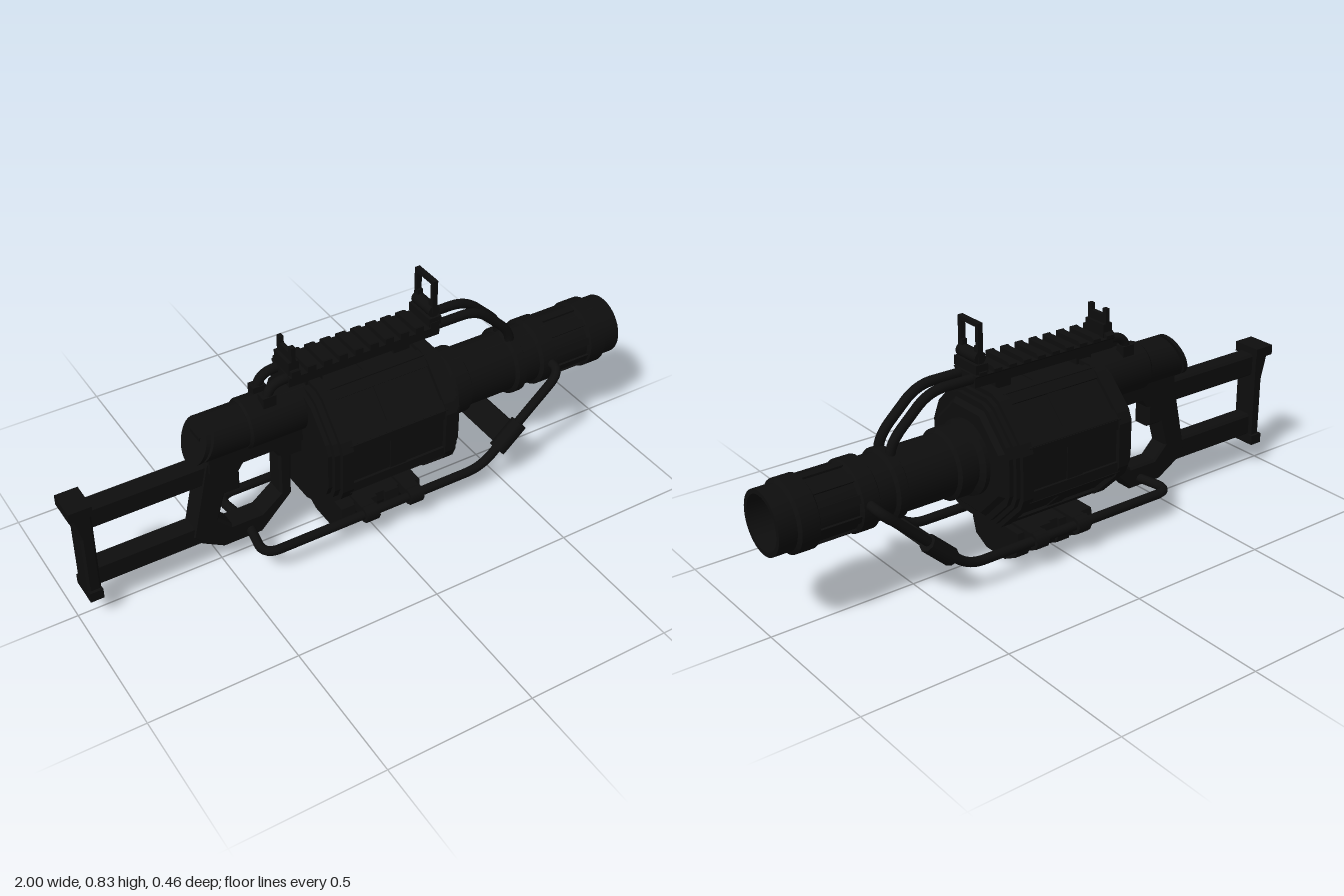
import * as THREE from 'three';
import { toCreasedNormals } from 'three/addons/utils/BufferGeometryUtils.js';

const V = (x, y, z) => new THREE.Vector3(x, y, z);

export function createModel() {
  const root = new THREE.Group();
  const mat = new THREE.MeshStandardMaterial({ color: 0x0e0e0e, side: THREE.DoubleSide });

  const add = (name, geo, x = 0, y = 0, z = 0, parent = root) => {
    const m = new THREE.Mesh(geo, mat);
    m.name = name;
    m.position.set(x, y, z);
    parent.add(m);
    return m;
  };
  // box given by its extents
  const box = (name, x0, x1, y0, y1, z0, z1, parent = root) =>
    add(name, new THREE.BoxGeometry(x1 - x0, y1 - y0, z1 - z0),
      (x0 + x1) / 2, (y0 + y1) / 2, (z0 + z1) / 2, parent);
  const shapeOf = pts => new THREE.Shape(pts.map(p => new THREE.Vector2(...p)));
  // side outline (x, y) given thickness along z, with softened edges
  const slab = (name, pts, halfZ, hole, bevel = 0.008) => {
    const s = shapeOf(pts);
    if (hole) s.holes.push(new THREE.Path(hole.map(p => new THREE.Vector2(...p))));
    const g = new THREE.ExtrudeGeometry(s, {
      depth: 2 * (halfZ - bevel), bevelThickness: bevel, bevelSize: bevel,
      bevelOffset: -bevel, bevelSegments: 1 });
    g.translate(0, 0, -(halfZ - bevel));
    return add(name, g);
  };
  // cross-section (z, y) extended along x
  const alongX = (pts, x0, x1) => {
    const g = new THREE.ExtrudeGeometry(shapeOf(pts.map(([z, y]) => [-z, y])),
      { depth: x1 - x0, bevelEnabled: false });
    return g.rotateY(Math.PI / 2).translate(x0, 0, 0);
  };
  // turned profile [x, radius] around the x axis
  const turned = (pts, segs = 40) => toCreasedNormals(
    new THREE.LatheGeometry(pts.map(([x, r]) => new THREE.Vector2(r, x)), segs)
      .rotateZ(-Math.PI / 2), 0.5);
  // tube along a polyline with rounded bends
  const rod = (name, pts, r, bend = 0.06) => {
    const path = new THREE.CurvePath();
    let last = pts[0];
    for (let i = 1; i < pts.length - 1; i++) {
      const p = pts[i];
      const toward = q => p.clone().add(q.clone().sub(p)
        .setLength(Math.min(bend, p.distanceTo(q) * 0.48)));
      const a = toward(pts[i - 1]), b = toward(pts[i + 1]);
      path.add(new THREE.LineCurve3(last, a));
      path.add(new THREE.QuadraticBezierCurve3(a, p, b));
      last = b;
    }
    path.add(new THREE.LineCurve3(last, pts[pts.length - 1]));
    add(name, new THREE.TubeGeometry(path, 110, r, 12));
  };

  // hollow barrel with chamfered collars
  const R = 0.103, C = 0.116;
  const profile = [[0.2, 0.125], [0.3, 0.125], [0.31, R]];
  for (const [a, b] of [[0.32, 0.39], [0.565, 0.61], [0.665, 0.735], [0.865, 0.94]])
    profile.push([a, R], [a + 0.008, C], [b - 0.008, C], [b, R]);
  profile.push([1, R], [1, 0.088], [0.66, 0.088], [0.66, 0]);
  add('barrel', turned(profile), 0, 0.38, 0);
  for (let i = 0; i < 10; i++) {
    const a = i / 10 * Math.PI * 2;
    const rib = add('barrelRib', new THREE.BoxGeometry(0.14, 0.012, 0.026),
      0.8, 0.38 + Math.cos(a) * R, Math.sin(a) * R);
    rib.rotation.x = a;
  }

  // eight-sided drum: core, end bands and raised frames on each face
  const drum = new THREE.Group();
  drum.name = 'drum';
  drum.position.y = 0.375;
  root.add(drum);
  const octagon = (apothem, cut = 0.012) => {
    const rad = apothem / Math.cos(Math.PI / 8), pts = [];
    for (let i = 0; i < 8; i++) for (const s of [-1, 1]) {
      const a = (i + 0.5) * Math.PI / 4 + s * cut / rad * 1.6;
      pts.push([Math.cos(a) * rad * 0.992, Math.sin(a) * rad * 0.992]);
    }
    return pts;
  };
  for (const [ap, x0, x1] of [[0.195, -0.215, 0.27], [0.21, -0.2, 0.255],
    [0.225, -0.18, -0.14], [0.225, 0.2, 0.24]])
    add('drumSection', alongX(octagon(ap), x0, x1), 0, 0, 0, drum);
  const nose = new THREE.CylinderGeometry(0.178, 0.225, 0.045, 8).rotateY(Math.PI / 8)
    .rotateZ(-Math.PI / 2).toNonIndexed();
  nose.computeVertexNormals();
  add('drumNose', nose, 0.2625, 0, 0, drum);
  for (let i = 0; i < 8; i++) {
    const face = new THREE.Group();
    face.name = 'drumFace';
    face.rotation.x = i * Math.PI / 4;
    drum.add(face);
    for (const s of [-1, 1])
      box('faceEdge', -0.15, 0.21, 0.2, 0.224, s * 0.074 - 0.017, s * 0.074 + 0.017, face);
    box('faceBridge', 0, 0.06, 0.2, 0.219, -0.07, 0.07, face);
  }

  // receiver with slanted rear end and separate end cap
  const slanted = (x0, x1, slantFront) => {
    const g = new THREE.CylinderGeometry(0.074, 0.074, x1 - x0, 32)
      .rotateZ(-Math.PI / 2).translate((x0 + x1) / 2, 0, 0);
    const p = g.attributes.position;
    for (let i = 0; i < p.count; i++)
      if (slantFront || p.getX(i) < (x0 + x1) / 2) p.setX(i, p.getX(i) + p.getY(i) * 0.38);
    g.computeVertexNormals();
    return toCreasedNormals(g, 0.6);
  };
  add('receiverRear', slanted(-0.54, -0.4, false), 0, 0.513, 0);
  add('receiverCap', slanted(-0.565, -0.55, true), 0, 0.513, 0);
  box('capStub', -0.56, -0.5, 0.47, 0.54, -0.03, 0.03);
  add('receiverFront', turned([[-0.41, 0], [-0.41, 0.076], [-0.402, 0.082],
    [-0.19, 0.082], [-0.19, 0]]), 0, 0.513, 0);
  box('receiverKeel', -0.54, -0.2, 0.4, 0.47, -0.045, 0.045);
  box('receiverLink', -0.26, -0.2, 0.35, 0.42, -0.035, 0.035);

  // grip and guard in one frame, with trigger block
  slab('gripFrame', [[-0.55, 0.44], [-0.61, 0.16], [-0.575, 0.12], [-0.5, 0.075],
    [-0.365, 0.075], [-0.255, 0.19], [-0.25, 0.44]], 0.036,
  [[-0.4, 0.412], [-0.435, 0.36], [-0.435, 0.29], [-0.49, 0.29], [-0.515, 0.2],
    [-0.47, 0.155], [-0.365, 0.155], [-0.297, 0.21], [-0.297, 0.36], [-0.33, 0.412]]);

  // skeleton stock
  slab('upperStockBar', [[-0.95, 0.35], [-0.53, 0.35], [-0.53, 0.43], [-0.95, 0.43]], 0.032);
  slab('lowerStockBar', [[-0.95, 0.12], [-0.55, 0.12], [-0.55, 0.2], [-0.95, 0.2]], 0.032);
  slab('buttPlate', [[-1, 0.455], [-0.97, 0.33], [-0.97, 0.085], [-0.925, 0.085],
    [-0.925, 0.455]], 0.042);
  for (const [y0, y1, x0] of [[0.42, 0.455, -1], [0.085, 0.12, -0.97]])
    box('buttEnd', x0, -0.925, y0, y1, -0.052, 0.052);

  // paired upper rods carrying the top rail, paired lower rods around the drum
  for (const s of [-1, 1]) {
    rod('upperRod', [V(-0.33, 0.54, s * 0.032), V(-0.325, 0.65, s * 0.032),
      V(0.44, 0.65, s * 0.032), V(0.58, 0.52, s * 0.032), V(0.585, 0.44, s * 0.032)], 0.016);
    box('rodFoot', -0.35, -0.305, 0.57, 0.615, s * 0.032 - 0.018, s * 0.032 + 0.018);
    rod('lowerRod', [V(-0.4, 0.105, 0), V(-0.43, 0.105, s * 0.162), V(0.4, 0.105, s * 0.162),
      V(0.705, 0.385, s * 0.162), V(0.705, 0.39, s * 0.09)], 0.016);
    for (const x of [-0.04, 0.13])
      add('rodClip', new THREE.CylinderGeometry(0.029, 0.029, 0.05, 8).rotateZ(Math.PI / 2),
        x, 0.105, s * 0.162);
    // sleeve on the sloped part
    const sleeve = add('rodSleeve', new THREE.CylinderGeometry(0.03, 0.03, 0.115, 8)
      .rotateZ(-Math.PI / 2), 0.505, 0.195, s * 0.162);
    sleeve.rotation.z = 0.743;
  }
  const cross = add('handBar', new THREE.BoxGeometry(0.09, 0.04, 0.35), 0.505, 0.195, 0);
  cross.rotation.z = 0.743;

  // toothed top rail
  add('topRail', alongX([[-0.05, 0.625], [0.05, 0.625], [0.05, 0.655], [0.061, 0.665],
    [-0.061, 0.665], [-0.05, 0.655]], -0.26, 0.285));
  for (let i = 0; i < 10; i++)
    add('railTooth', alongX([[-0.061, 0.664], [0.061, 0.664], [0.061, 0.685],
      [0.05, 0.697 - 0.015], [-0.05, 0.697 - 0.015], [-0.061, 0.675]], 0, 0.03),
    -0.255 + i * 0.0555);
  for (const x of [-0.16, 0.16]) box('railMount', x - 0.03, x + 0.03, 0.58, 0.63, -0.025, 0.025);

  // front sight: open frame on a hinged base
  box('frontSightBase', 0.24, 0.285, 0.67, 0.7, -0.058, 0.058);
  add('frontSightHinge', new THREE.CylinderGeometry(0.021, 0.021, 0.1, 16)
    .rotateX(Math.PI / 2), 0.263, 0.718, 0);
  for (const s of [-1, 1]) {
    box('frontSightPost', 0.254, 0.272, 0.7, 0.83, s * 0.045 - 0.007, s * 0.045 + 0.007);
    box('frontSightTab', 0.254, 0.272, 0.73, 0.755, s * 0.036 - 0.006, s * 0.036 + 0.006);
  }
  box('frontSightTop', 0.254, 0.272, 0.817, 0.83, -0.052, 0.052);

  // rear sight: small leaf with twin posts
  box('rearSightBase', -0.258, -0.222, 0.665, 0.71, -0.045, 0.045);
  box('rearSightLeaf', -0.247, -0.232, 0.7, 0.738, -0.045, 0.045);
  for (const s of [-1, 1])
    box('rearSightPost', -0.247, -0.232, 0.73, 0.76, s * 0.036 - 0.009, s * 0.036 + 0.009);

  // ribbed lower fore-end hung below the drum
  const belly = k => [[-0.05 * k, 0.055 - 0.055 * k], [0.05 * k, 0.055 - 0.055 * k],
    [0.108 * k, 0.03], [0.125 * k, 0.085], [0.12 * k, 0.12], [-0.12 * k, 0.12],
    [-0.125 * k, 0.085], [-0.108 * k, 0.03]];
  add('foreEndCore', alongX(belly(0.9), -0.115, 0.18));
  for (let i = 0; i < 4; i++)
    add('foreEndRib', alongX(belly(1), 0, 0.05), -0.12 + i * 0.0833);
  for (const x of [-0.04, 0.13]) {
    box('foreEndStrap', x - 0.025, x + 0.025, 0.09, 0.13, -0.162, 0.162);
    box('foreEndMount', x - 0.025, x + 0.025, 0.12, 0.17, -0.05, 0.05);
  }
  return root;
}
